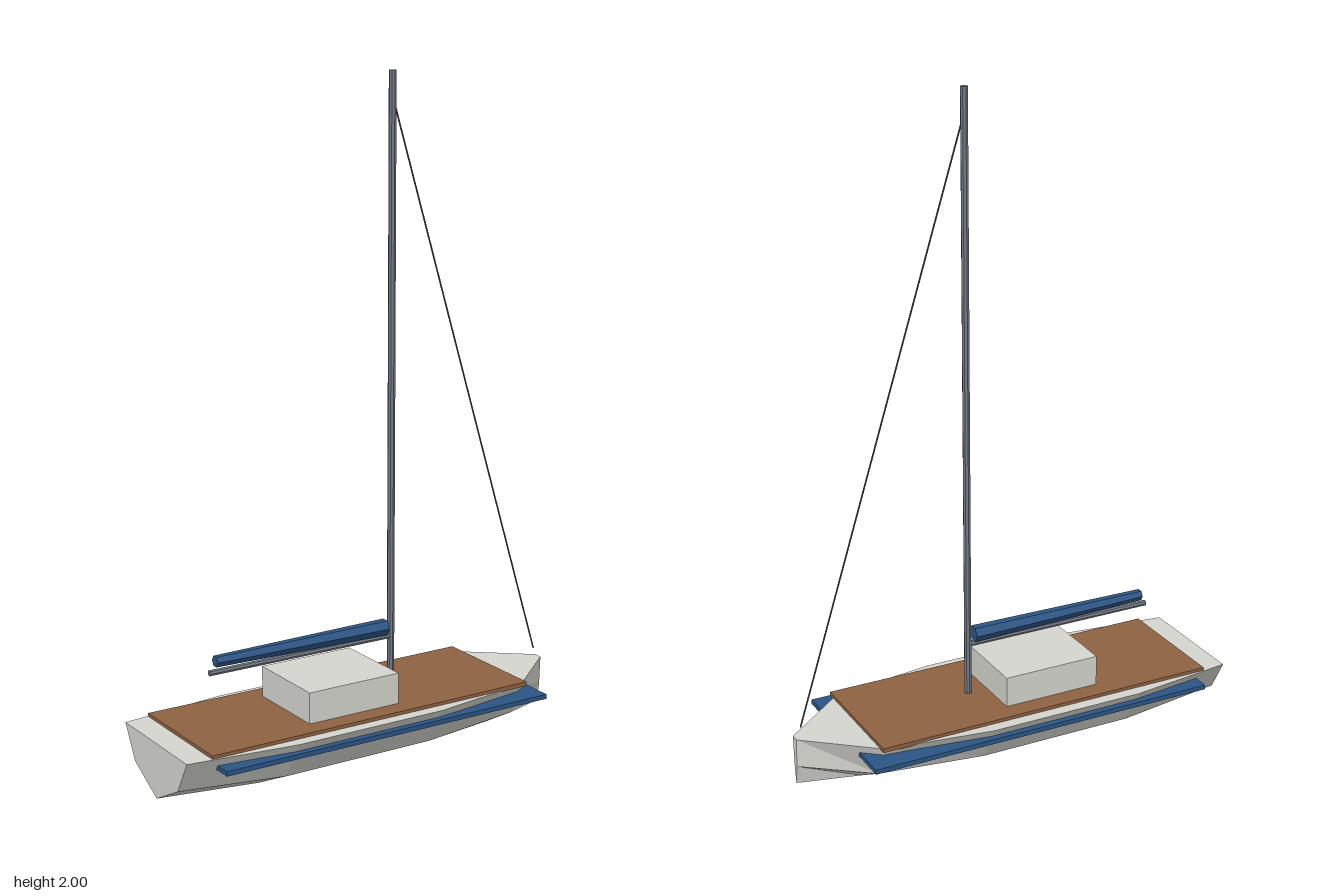
import * as THREE from 'three';

const mat = (name, color) => {
  const m = new THREE.MeshStandardMaterial({ color, flatShading: true });
  m.name = name;
  return m;
};

// Faceted hull lofted through stations: [x, sheer half width, chine half width, chine y, keel y]
function hullGeometry() {
  const sheerY = 0.196;
  const rings = [
    [-0.665, 0.184, 0.128, 0.098, 0.032],
    [-0.34, 0.226, 0.158, 0.08, 0.004],
    [0.14, 0.226, 0.158, 0.08, 0.003],
    [0.46, 0.178, 0.125, 0.09, 0.02],
    [0.662, 0.013, 0.009, 0.108, 0.05],
  ].map(([x, w, c, cy, ky]) => [
    [x, sheerY, w], [x, cy, c], [x, ky, 0], [x, cy, -c], [x, sheerY, -w],
  ]);
  const pos = [];
  const tri = (...p) => p.forEach((v) => pos.push(...v));
  for (let i = 0; i < rings.length - 1; i++) {
    for (let j = 0; j < 5; j++) {
      const k = (j + 1) % 5;
      const [a, b, c, d] = [rings[i][j], rings[i + 1][j], rings[i + 1][k], rings[i][k]];
      tri(a, d, c);
      tri(a, c, b);
    }
  }
  // Transom and stem caps
  const stern = rings[0], bow = rings[rings.length - 1];
  for (let j = 1; j < 4; j++) {
    tri(bow[0], bow[j], bow[j + 1]);
    tri(stern[0], stern[j + 1], stern[j]);
  }
  const g = new THREE.BufferGeometry();
  g.setAttribute('position', new THREE.Float32BufferAttribute(pos, 3));
  g.computeVertexNormals();
  return g;
}

export function createModel() {
  const boat = new THREE.Group();
  boat.name = 'sailboat';
  const white = mat('hull white', 0xd6d6d0);
  const teak = mat('teak brown', 0x8f6243);
  const blue = mat('canvas blue', 0x2c5585);
  const spar = mat('spar grey', 0x737a85);
  const wire = mat('wire grey', 0x55585c);

  const add = (name, geometry, material) => {
    const m = new THREE.Mesh(geometry, material);
    m.name = name;
    boat.add(m);
    return m;
  };
  const box = (name, material, x0, x1, y0, y1, z0, z1) =>
    add(name, new THREE.BoxGeometry(x1 - x0, y1 - y0, z1 - z0), material)
      .position.set((x0 + x1) / 2, (y0 + y1) / 2, (z0 + z1) / 2);
  // Tapered round bar from a to b
  const bar = (name, material, a, b, ra, rb, sides) => {
    const from = new THREE.Vector3(...a), to = new THREE.Vector3(...b);
    const dir = to.clone().sub(from);
    const m = add(name, new THREE.CylinderGeometry(rb, ra, dir.length(), sides), material);
    m.position.copy(from).add(to).multiplyScalar(0.5);
    m.quaternion.setFromUnitVectors(new THREE.Vector3(0, 1, 0), dir.normalize());
  };

  // Hull, deck and cabin
  add('hull', hullGeometry(), white);
  box('deck', teak, -0.59, 0.472, 0.193, 0.206, -0.19, 0.19);
  box('cabin', white, -0.248, 0.052, 0.2, 0.298, -0.132, 0.132);

  // Rub rails along both sides
  for (const [side, s] of [['left', 1], ['right', -1]].map(([n, v]) => [n === 'left' ? 'front' : 'back', v]))
    box(side + 'RubRail', blue, -0.57, 0.515, 0.157, 0.171, s > 0 ? 0.09 : -0.232, s > 0 ? 0.232 : -0.09);

  // Rig
  bar('mast', spar, [0.112, 0.2, 0], [0.112, 2, 0], 0.011, 0.011, 8);
  bar('boom', spar, [-0.493, 0.364, 0], [0.112, 0.364, 0], 0.009, 0.009, 8);
  bar('furledSail', blue, [-0.475, 0.395, 0], [0.093, 0.393, 0], 0.017, 0.025, 6);
  bar('forestay', wire, [0.115, 1.92, 0], [0.643, 0.225, 0], 0.0025, 0.0025, 5);
  return boat;
}
